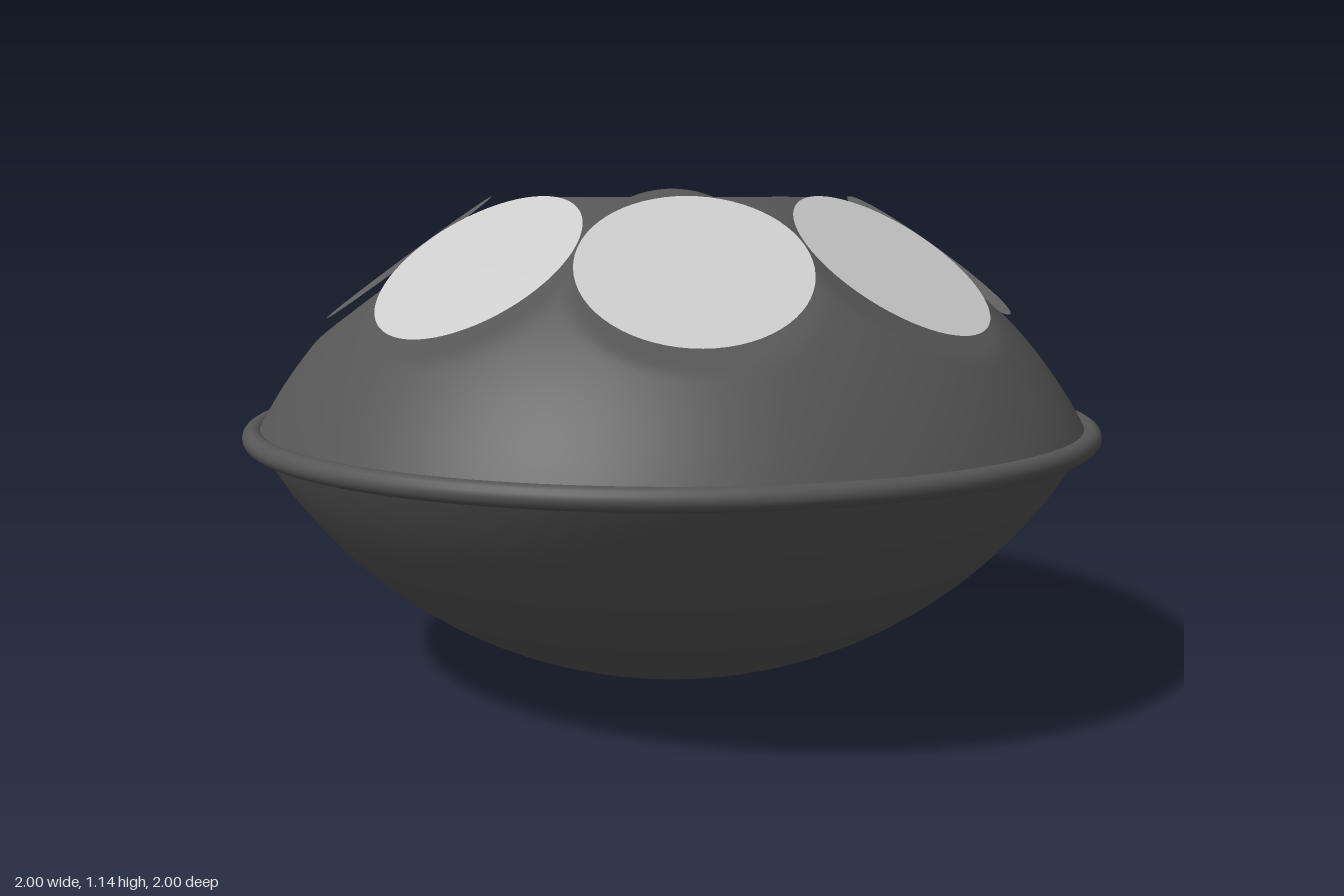
import * as THREE from 'three';
import { mergeVertices } from 'three/addons/utils/BufferGeometryUtils.js';

const R = 1.092;            // radius of both shell domes
const RIM_Y = 0.59;         // height of the seam
const RIM_R = 0.97;
const ARC = Math.asin(RIM_R / R);
const NOTES = 8;
const TILT = 0.63;          // lean of each note from straight up

// Outward direction of note i
function noteDirection(i) {
  const a = (i / NOTES) * Math.PI * 2;
  return new THREE.Vector3(Math.sin(a) * Math.sin(TILT), Math.cos(TILT), Math.cos(a) * Math.sin(TILT));
}

// Dome pressed flat under each note and at the crown
function upperShellGeometry() {
  const geo = new THREE.SphereGeometry(R, 192, 72, 0, Math.PI * 2, 0, ARC);
  const flats = [{ n: new THREE.Vector3(0, 1, 0), d: 1.037 }];
  for (let i = 0; i < NOTES; i++) flats.push({ n: noteDirection(i), d: 1.062 });
  const pos = geo.attributes.position;
  const v = new THREE.Vector3();
  for (let i = 0; i < pos.count; i++) {
    v.fromBufferAttribute(pos, i);
    for (const { n, d } of flats) {
      const h = v.dot(n);
      if (h > d) v.multiplyScalar(d / h);
    }
    pos.setXYZ(i, v.x, v.y, v.z);
  }
  geo.deleteAttribute('uv');
  geo.deleteAttribute('normal');
  const merged = mergeVertices(geo, 1e-5);
  merged.computeVertexNormals();
  return merged;
}

export function createModel() {
  const model = new THREE.Group();
  model.name = 'handpan';
  const dark = new THREE.MeshStandardMaterial({ color: 0x555555, side: THREE.DoubleSide });
  const grey = new THREE.MeshStandardMaterial({ color: 0xcccccc, side: THREE.DoubleSide });
  const add = (name, geo, mat, parent = model) => {
    const mesh = new THREE.Mesh(geo, mat);
    mesh.name = name;
    parent.add(mesh);
    return mesh;
  };

  // Shells
  const centreY = RIM_Y - R * Math.cos(ARC);
  add('upperShell', upperShellGeometry(), dark).position.y = centreY;
  add('lowerShell', new THREE.SphereGeometry(R, 128, 48, 0, Math.PI * 2, Math.PI - ARC, ARC), dark).position.y = R;

  // Rim bead around the seam
  const rim = add('rim', new THREE.TorusGeometry(0.976, 0.024, 16, 96), dark);
  rim.rotation.x = Math.PI / 2;
  rim.position.y = RIM_Y;

  // Low dome in the middle of the crown
  const bumpR = 0.26;
  const bump = add('centreDome', new THREE.SphereGeometry(bumpR, 48, 10, 0, Math.PI * 2, 0, Math.asin(0.1 / bumpR)), dark);
  bump.position.y = 1.145 - bumpR;

  // Ring of flat note discs floating just above the flats
  const notes = new THREE.Group();
  notes.name = 'notes';
  model.add(notes);
  const disc = new THREE.CircleGeometry(0.24, 64);
  for (let i = 0; i < NOTES; i++) {
    const a = (i / NOTES) * Math.PI * 2;
    const note = add('note' + (i + 1), disc, grey, notes);
    note.position.set(Math.sin(a) * 0.617, 0.986, Math.cos(a) * 0.617);
    note.quaternion.setFromUnitVectors(new THREE.Vector3(0, 0, 1), noteDirection(i));
  }
  return model;
}
